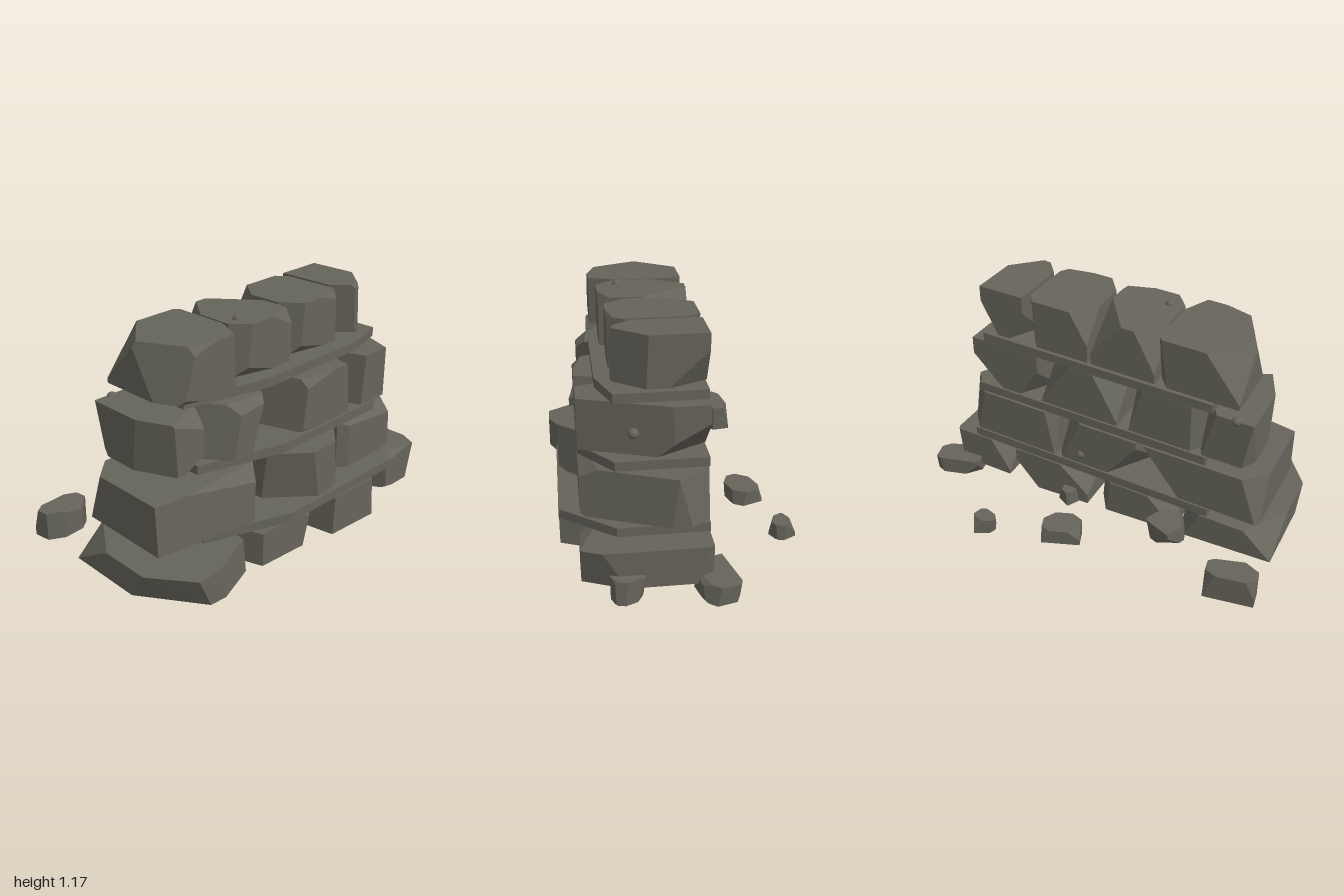
import * as THREE from 'three';
import { ConvexGeometry } from 'three/addons/geometries/ConvexGeometry.js';

const SLOPE = 0.057; // every course rises gently toward +x
const BACK = -0.13;

const stone = new THREE.MeshStandardMaterial({ color: 0x66645a });
stone.name = 'olive grey stone';

// Seeded number between lo and hi
function makeRandom(seed) {
  let state = seed;
  return (lo, hi) => {
    state = (state * 16807) % 2147483647;
    return lo + ((hi - lo) * state) / 2147483647;
  };
}

// Vertical front corner cut taking shares a of the width and b of the depth, leaning by t
const cornerCut = (side, a, b, t) => [side * b, 2 * a * b * t, a, a + b - 2 * a * b];

// Cut planes [nx, ny, nz, d] (keep n.p <= d): two front corners, front top and bottom, two back corners
function chips(random, leftA, leftB, rightA, rightB) {
  return [
    cornerCut(-1, leftA, leftB, random(-0.2, 0.4)),
    cornerCut(1, rightA, rightB, random(-0.4, 0.3)),
    [random(-0.3, 0.3), random(0.4, 0.7), 1, random(1.4, 1.55)],
    [random(-0.3, 0.3), -0.5, 1, random(1.45, 1.6)],
    [-1, random(-0.7, 0.7), -0.9, random(1.5, 1.8)],
    [1, random(-0.7, 0.7), -0.9, random(1.5, 1.8)],
  ];
}

// Corner points of a box of half size 1 trimmed by cut planes
function chippedBox(cuts) {
  const planes = cuts.map(([x, y, z, d]) => ({ n: new THREE.Vector3(x, y, z), d }));
  for (const axis of [0, 1, 2])
    for (const sign of [-1, 1]) planes.push({ n: new THREE.Vector3().setComponent(axis, sign), d: 1 });
  const points = [];
  for (let i = 0; i < planes.length; i++)
    for (let j = i + 1; j < planes.length; j++)
      for (let k = j + 1; k < planes.length; k++) {
        const [a, b, c] = [planes[i], planes[j], planes[k]];
        const bc = b.n.clone().cross(c.n);
        const det = a.n.dot(bc);
        if (Math.abs(det) < 1e-6) continue;
        const p = bc.multiplyScalar(a.d)
          .addScaledVector(c.n.clone().cross(a.n), b.d)
          .addScaledVector(a.n.clone().cross(b.n), c.d)
          .divideScalar(det);
        const inside = planes.every(({ n, d }) => n.dot(p) <= d + 1e-6);
        if (inside && points.every((q) => q.distanceTo(p) > 1e-3)) points.push(p);
      }
  return points;
}

function addMesh(group, name, geometry) {
  const mesh = new THREE.Mesh(geometry, stone);
  mesh.name = name;
  group.add(mesh);
  return mesh;
}

// Wall stone filling x0..x1, y0..y1 (heights at x = 0) and BACK..z1, following the slope
function wallStone(x0, x1, y0, y1, z1, cuts) {
  const size = new THREE.Vector3(x1 - x0, y1 - y0, z1 - BACK).multiplyScalar(0.5);
  const centre = new THREE.Vector3(x0 + x1, y0 + y1, BACK + z1).multiplyScalar(0.5);
  const points = chippedBox(cuts).map((p) => p.multiply(size).add(centre));
  for (const p of points) p.y = Math.max(0, p.y + SLOPE * p.x);
  return new ConvexGeometry(points);
}

// Courses: bottom, top and stones [x0, x1, front z, left corner cut a, b, right corner cut a, b]
const COURSES = [
  { y0: -0.03, y1: 0.192, stones: [
    [-0.97, -0.46, 0.6, 0.35, 0.35, 0.45, 0.14],
    [-0.44, 0.02, 0.53, 0.15, 0.3, 0.2, 0.4],
    [0.06, 0.5, 0.56, 0.08, 0.3, 0.25, 0.4],
  ] },
  { y0: 0, y1: 0.192, stones: [[0.55, 0.88, 0.47, 0.2, 0.2, 0.2, 0.25]] },
  { y0: 0.255, y1: 0.502, stones: [
    [-0.89, -0.23, 0.48, 0.75, 0.14, 0.22, 0.35],
    [-0.22, 0.24, 0.55, 0.4, 0.25, 0.3, 0.2],
    [0.25, 0.8, 0.46, 0.1, 0.06, 0.33, 0.72],
  ] },
  { y0: 0.57, y1: 0.825, stones: [
    [-0.82, -0.55, 0.36, 0.3, 0.4, 0.1, 0.2],
    [-0.54, -0.18, 0.43, 0.3, 0.3, 0.35, 0.5],
    [-0.11, 0.32, 0.46, 0.2, 0.5, 0.1, 0.4],
    [0.34, 0.72, 0.46, 0.15, 0.3, 0.42, 0.72],
  ] },
  { y0: 0.887, y1: 1.137, stones: [
    [-0.74, -0.32, 0.35, 0.24, 0.46, 0.14, 0.3],
    [-0.31, 0.03, 0.32, 0.15, 0.15, 0.06, 0.3],
    [0.05, 0.39, 0.3, 0.18, 0.2, 0.12, 0.17],
    [0.41, 0.65, 0.3, 0.35, 0.25, 0.55, 0.36],
  ] },
];

// Thin slabs between courses: underside, x ends and deepest front
const SLABS = [
  { y: 0.2, left: -0.62, right: 0.75, front: 0.56 },
  { y: 0.514, left: -0.59, right: 0.7, front: 0.46 },
  { y: 0.826, left: -0.61, right: 0.65, front: 0.37 },
];
const SLAB_HEIGHT = 0.046;

// Fallen pieces: [x, z, width, height, depth, yaw]
const RUBBLE = [
  [-0.865, -0.41, 0.25, 0.144, 0.14, 0.15],
  [0.06, -0.41, 0.2, 0.08, 0.15, 0.35],
  [0.45, -0.54, 0.11, 0.08, 0.1, 0.5],
  [-0.43, -0.17, 0.17, 0.1, 0.17, -0.4],
  [0.16, -0.14, 0.08, 0.08, 0.09, -0.5],
  [0.86, -0.14, 0.25, 0.092, 0.17, 0.25],
  [0.87, 0.27, 0.12, 0.12, 0.14, 0.4],
  [0.68, 0.16, 0.13, 0.05, 0.14, 0.8],
];

// Round pebbles half buried in the stones
const PEBBLES = [[-0.235, 1.12, 0.21], [0.695, 0.737, 0.215], [-0.73, 0.775, -0.117], [0.1, 0.315, -0.12]];

export function createModel() {
  const model = new THREE.Group();
  model.name = 'ruinedStoneWall';
  const random = makeRandom(4217);

  const courses = new THREE.Group();
  courses.name = 'stoneCourses';
  for (const { y0, y1, stones } of COURSES)
    for (const [x0, x1, z1, ...corners] of stones)
      addMesh(courses, 'wallStone', wallStone(x0, x1, y0, y1, z1, chips(random, ...corners)));

  const slabs = new THREE.Group();
  slabs.name = 'slabs';
  const shear = new THREE.Matrix4().makeShear(SLOPE, 0, 0, 0, 0, 0);
  for (const { y, left, right, front } of SLABS) {
    // Straight back, front edge narrowing toward both ends
    const shape = new THREE.Shape();
    shape.moveTo(left, BACK);
    shape.lineTo(right, BACK);
    shape.lineTo(right, 0.3);
    shape.lineTo(right - 0.22, front);
    shape.lineTo(left + 0.42, front);
    shape.lineTo(left, front * 0.7);
    const geometry = new THREE.ExtrudeGeometry(shape, { depth: SLAB_HEIGHT, bevelEnabled: false });
    geometry.rotateX(Math.PI / 2).translate(0, y + SLAB_HEIGHT, 0).applyMatrix4(shear);
    addMesh(slabs, 'slab', geometry);
  }

  const rubble = new THREE.Group();
  rubble.name = 'rubble';
  for (const [x, z, width, height, depth, yaw] of RUBBLE) {
    const size = new THREE.Vector3(width, height, depth).multiplyScalar(0.5);
    const cuts = chips(random, 0.3, 0.35, 0.25, 0.3);
    const piece = addMesh(rubble, 'fallenStone', new ConvexGeometry(chippedBox(cuts).map((p) => p.multiply(size))));
    piece.position.set(x, height / 2, z);
    piece.rotation.y = yaw;
  }

  const pebbles = new THREE.Group();
  pebbles.name = 'pebbles';
  for (const position of PEBBLES) addMesh(pebbles, 'pebble', new THREE.SphereGeometry(0.025, 16, 12)).position.set(...position);

  model.add(courses, slabs, rubble, pebbles);
  return model;
}
